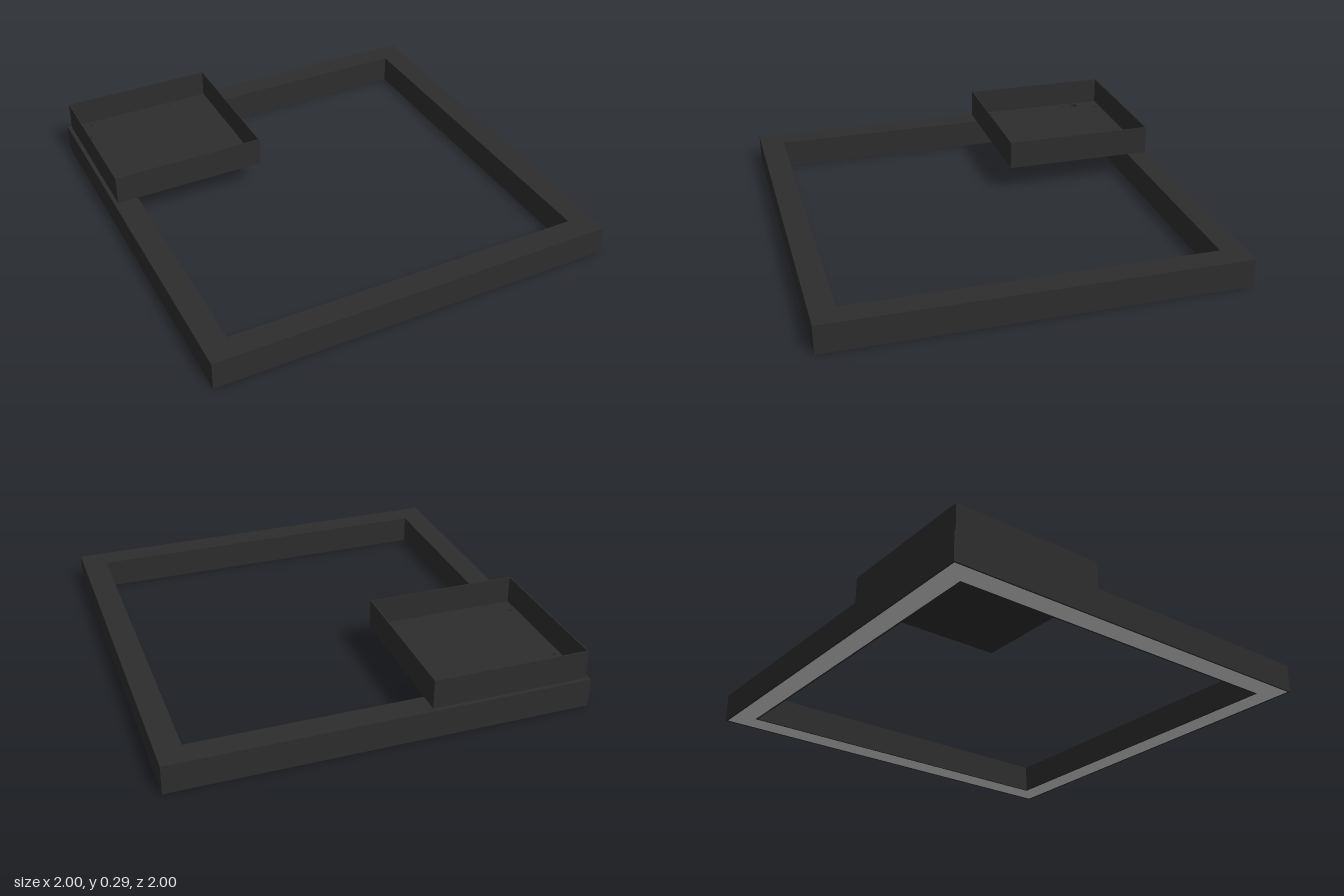
import * as THREE from 'three';

export function createModel() {
  const black = new THREE.MeshStandardMaterial({ color: 0x2d2d2d });
  black.name = 'blackMetal';
  const white = new THREE.MeshStandardMaterial({ color: 0xdadada });
  white.name = 'whiteDiffuser';

  const model = new THREE.Group();
  model.name = 'squareRingLamp';

  // Cable and screw holes: x, z, radius
  const holes = [
    [-0.94, -0.83, 0.021], [-0.89, -0.94, 0.008], [-0.45, -0.94, 0.008],
    [-0.94, -0.76, 0.008], [-0.94, -0.32, 0.008],
  ];

  const trace = (path, cx, cz, half) => {
    path.moveTo(cx - half, -cz - half);
    path.lineTo(cx + half, -cz - half);
    path.lineTo(cx + half, -cz + half);
    path.lineTo(cx - half, -cz + half);
    path.closePath();
    return path;
  };

  // Flat square plate or ring from y0 to y1, with an optional opening and drilled holes
  function addSquare(parent, name, material, { cx = 0, cz = 0, outer, inner = 0, y0, y1, drilled = false }) {
    const shape = trace(new THREE.Shape(), cx, cz, outer);
    if (inner) shape.holes.push(trace(new THREE.Path(), cx, cz, inner));
    if (drilled) {
      for (const [x, z, r] of holes) {
        shape.holes.push(new THREE.Path().absarc(x, -z, r, 0, Math.PI * 2, true));
      }
    }
    const geometry = new THREE.ExtrudeGeometry(shape, { depth: y1 - y0, bevelEnabled: false, curveSegments: 10 });
    geometry.rotateX(-Math.PI / 2);
    geometry.translate(0, y0, 0);
    const mesh = new THREE.Mesh(geometry, material);
    mesh.name = name;
    parent.add(mesh);
  }

  // Hollow square frame, open below
  const frame = new THREE.Group();
  frame.name = 'frame';
  addSquare(frame, 'frameOuterWall', black, { outer: 1, inner: 0.992, y0: 0, y1: 0.132 });
  addSquare(frame, 'frameInnerWall', black, { outer: 0.888, inner: 0.88, y0: 0, y1: 0.132 });
  addSquare(frame, 'frameTop', black, { outer: 1, inner: 0.88, y0: 0.132, y1: 0.141, drilled: true });
  addSquare(frame, 'diffuser', white, { outer: 0.992, inner: 0.888, y0: 0.001, y1: 0.01 });
  model.add(frame);

  // Open mounting tray on the back right corner
  const tray = new THREE.Group();
  tray.name = 'mountingTray';
  const place = { cx: -0.602, cz: -0.602, outer: 0.379 };
  addSquare(tray, 'trayFloor', black, { ...place, y0: 0.142, y1: 0.15, drilled: true });
  addSquare(tray, 'trayWalls', black, { ...place, inner: 0.373, y0: 0.15, y1: 0.286 });
  model.add(tray);

  return model;
}
